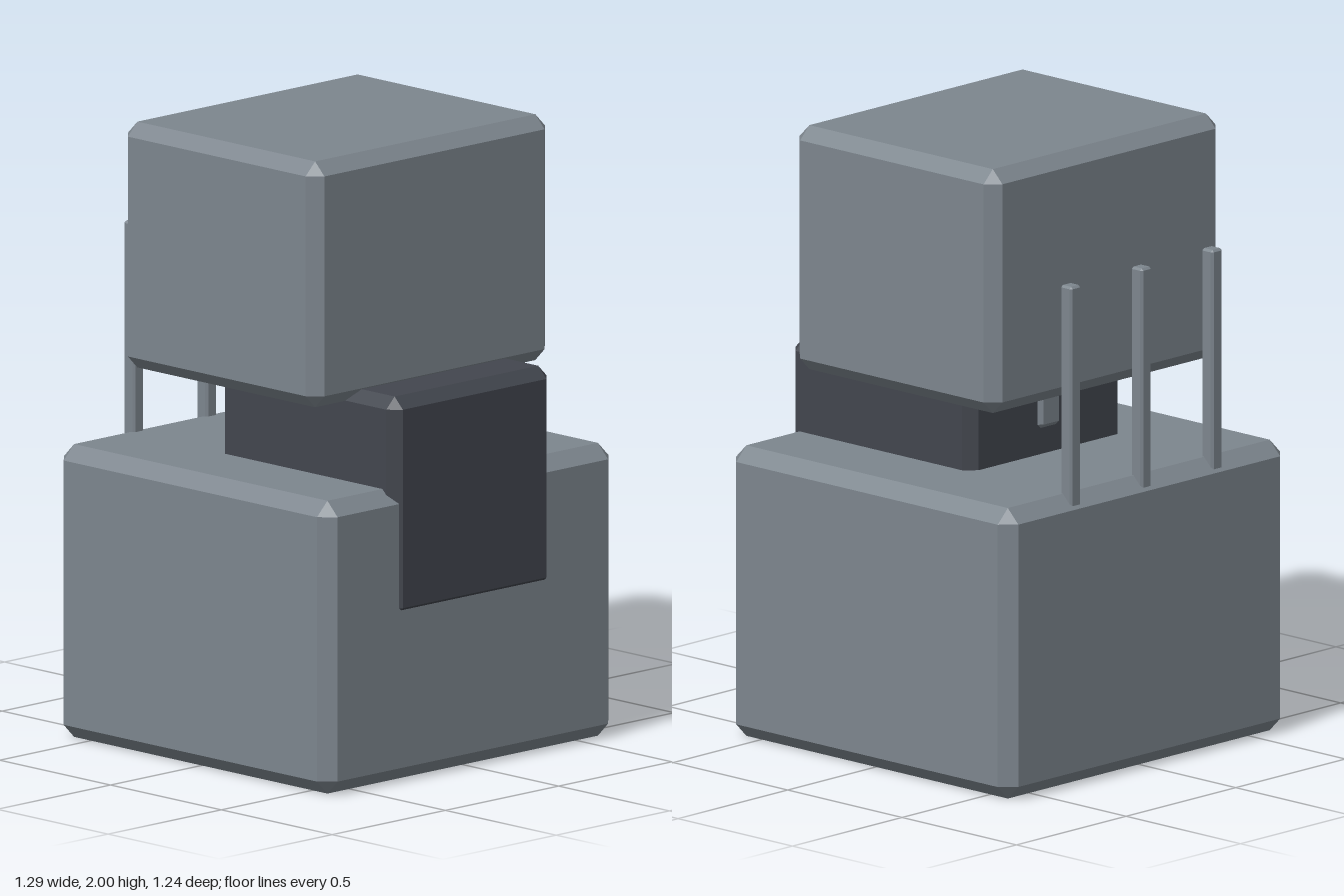
import * as THREE from 'three';
import { ConvexGeometry } from 'three/addons/geometries/ConvexGeometry.js';

const grey = new THREE.MeshStandardMaterial({ color: 0x7d868e, flatShading: true });
const dark = new THREE.MeshStandardMaterial({ color: 0x42464e, flatShading: true });

// Box with flat chamfers on every edge; each range is [min, max]
function chamferBox(name, xr, yr, zr, bevel, material) {
  const ranges = [xr, yr, zr];
  const half = ranges.map(([a, b]) => (b - a) / 2);
  const points = [];
  for (const sx of [-1, 1]) for (const sy of [-1, 1]) for (const sz of [-1, 1]) {
    for (let axis = 0; axis < 3; axis++) {
      // one axis reaches the face, the other two are pulled in
      const p = [sx, sy, sz].map((s, i) => s * (half[i] - (i === axis ? 0 : bevel)));
      points.push(new THREE.Vector3(...p));
    }
  }
  const mesh = new THREE.Mesh(new ConvexGeometry(points), material);
  mesh.name = name;
  mesh.position.set(...ranges.map(([a, b]) => (a + b) / 2));
  return mesh;
}

export function createModel() {
  const model = new THREE.Group();
  model.name = 'blockFigure';

  model.add(chamferBox('body', [-0.643, 0.643], [0, 0.947], [-0.622, 0.613], 0.046, grey));
  model.add(chamferBox('head', [-0.528, 0.528], [1.205, 2], [-0.446, 0.44], 0.042, grey));

  // Dark block between body and head, standing just proud of the body front
  model.add(chamferBox('neckBlock', [-0.354, 0.354], [0.527, 1.243], [-0.18, 0.621], 0.037, dark));

  // Small post showing behind the neck block
  model.add(chamferBox('neckPost', [-0.05, 0.05], [1.03, 1.25], [-0.193, -0.08], 0.015, grey));

  // Row of thin upright rods along the back edge
  for (const x of [-0.322, 0, 0.322]) {
    model.add(chamferBox('backRod', [x - 0.024, x + 0.024], [0.75, 1.625], [-0.612, -0.563], 0.007, grey));
  }
  return model;
}
